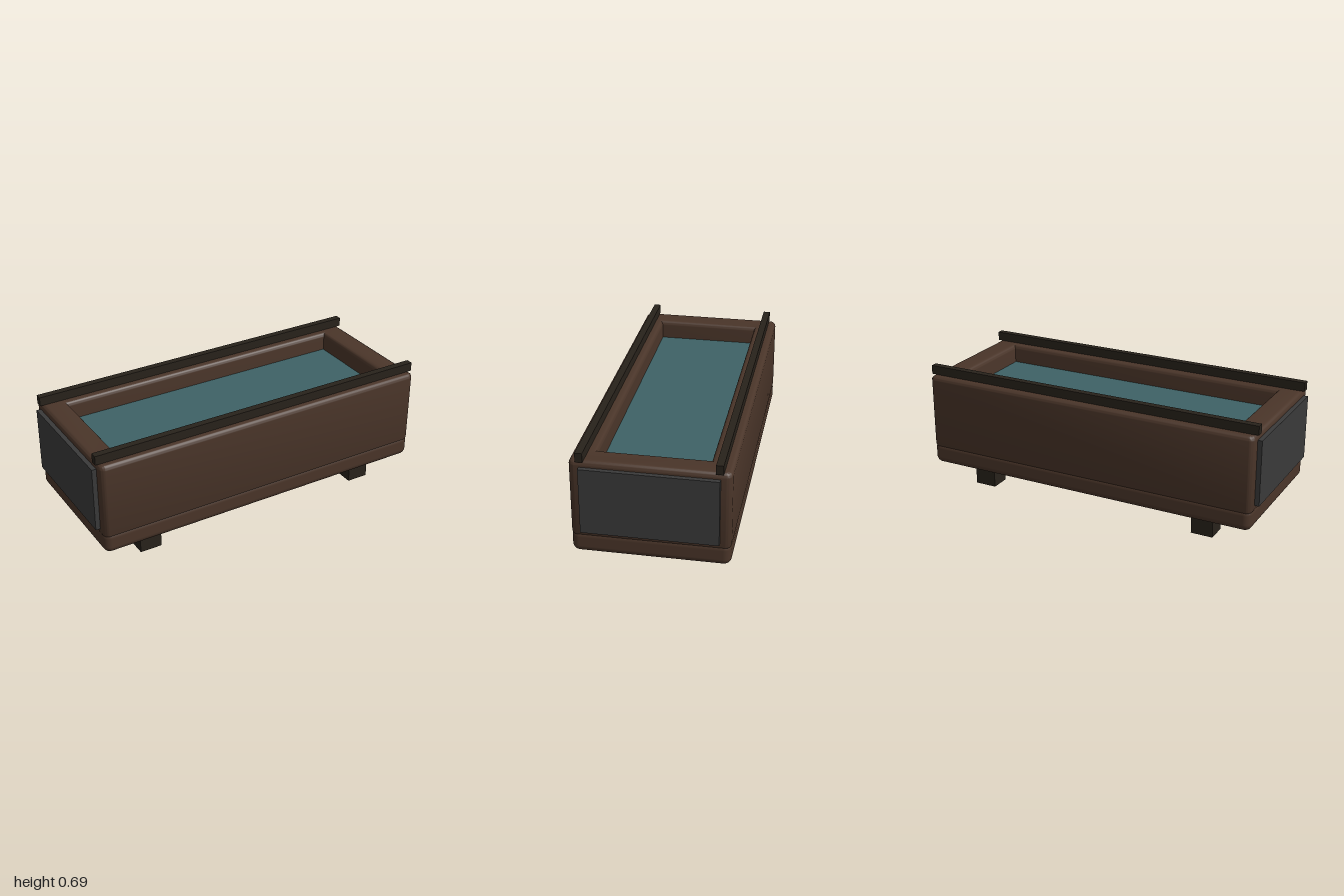
import * as THREE from 'three';
import { toCreasedNormals } from 'three/addons/utils/BufferGeometryUtils.js';
import { RoundedBoxGeometry } from 'three/addons/geometries/RoundedBoxGeometry.js';

const brown = new THREE.MeshStandardMaterial({ color: 0x4a3529 });
const dark = new THREE.MeshStandardMaterial({ color: 0x28221b });
const grey = new THREE.MeshStandardMaterial({ color: 0x3a3a3a });
const teal = new THREE.MeshStandardMaterial({ color: 0x3e6266 });

const HALF_X = 0.975, HALF_Z = 0.407;

// Traces a rounded rectangle centred on the origin
function roundedRect(path, hx, hy, r) {
  path.moveTo(hx, -hy + r);
  path.lineTo(hx, hy - r);
  path.absarc(hx - r, hy - r, r, 0, Math.PI / 2);
  path.lineTo(-hx + r, hy);
  path.absarc(-hx + r, hy - r, r, Math.PI / 2, Math.PI);
  path.lineTo(-hx, -hy + r);
  path.absarc(-hx + r, -hy + r, r, Math.PI, Math.PI * 1.5);
  path.lineTo(hx - r, -hy);
  path.absarc(hx - r, -hy + r, r, Math.PI * 1.5, Math.PI * 2);
  path.closePath();
  return path;
}

// Sharp rectangular hole
function rectHole(hx, hy) {
  return new THREE.Path([
    new THREE.Vector2(-hx, -hy), new THREE.Vector2(-hx, hy),
    new THREE.Vector2(hx, hy), new THREE.Vector2(hx, -hy),
  ]);
}

export function createModel() {
  const group = new THREE.Group();

  function add(name, geometry, material, x, y, z) {
    const mesh = new THREE.Mesh(geometry, material);
    mesh.name = name;
    mesh.position.set(x, y, z);
    group.add(mesh);
  }

  // Soft-edged base slab
  add('base', new RoundedBoxGeometry(HALF_X * 2, 0.13, HALF_Z * 2, 6, 0.04), brown, 0, 0.18, 0);

  // Open body: a rounded ring of walls, all edges softened
  const bevel = 0.025, bottom = 0.21, top = 0.645;
  const outline = roundedRect(new THREE.Shape(), HALF_X - bevel, HALF_Z - bevel, 0.01);
  outline.holes.push(rectHole(0.84 + bevel, 0.286 + bevel));
  const body = new THREE.ExtrudeGeometry(outline, {
    depth: top - bottom - 2 * bevel,
    bevelSize: bevel,
    bevelThickness: bevel,
    bevelSegments: 6,
    curveSegments: 6,
  });
  body.rotateX(-Math.PI / 2);
  add('body', toCreasedNormals(body, Math.PI / 5), brown, 0, bottom + bevel, 0);

  // Inset filling, recessed below the rim
  add('filling', new THREE.BoxGeometry(1.676, 0.31, 0.57), teal, 0, 0.385, 0);

  for (const s of [-1, 1]) {
    // Rails along the long rims and panels on the ends
    add('rail', new THREE.BoxGeometry(1.97, 0.05, 0.038), dark, 0, 0.67, s * 0.347);
    add('endPanel', new THREE.BoxGeometry(0.03, 0.362, 0.702), grey, s * 0.985, 0.432, 0);
    for (const t of [-1, 1]) {
      add('leg', new THREE.BoxGeometry(0.124, 0.125, 0.114), dark, s * 0.68, 0.0625, t * 0.272);
    }
  }
  return group;
}
